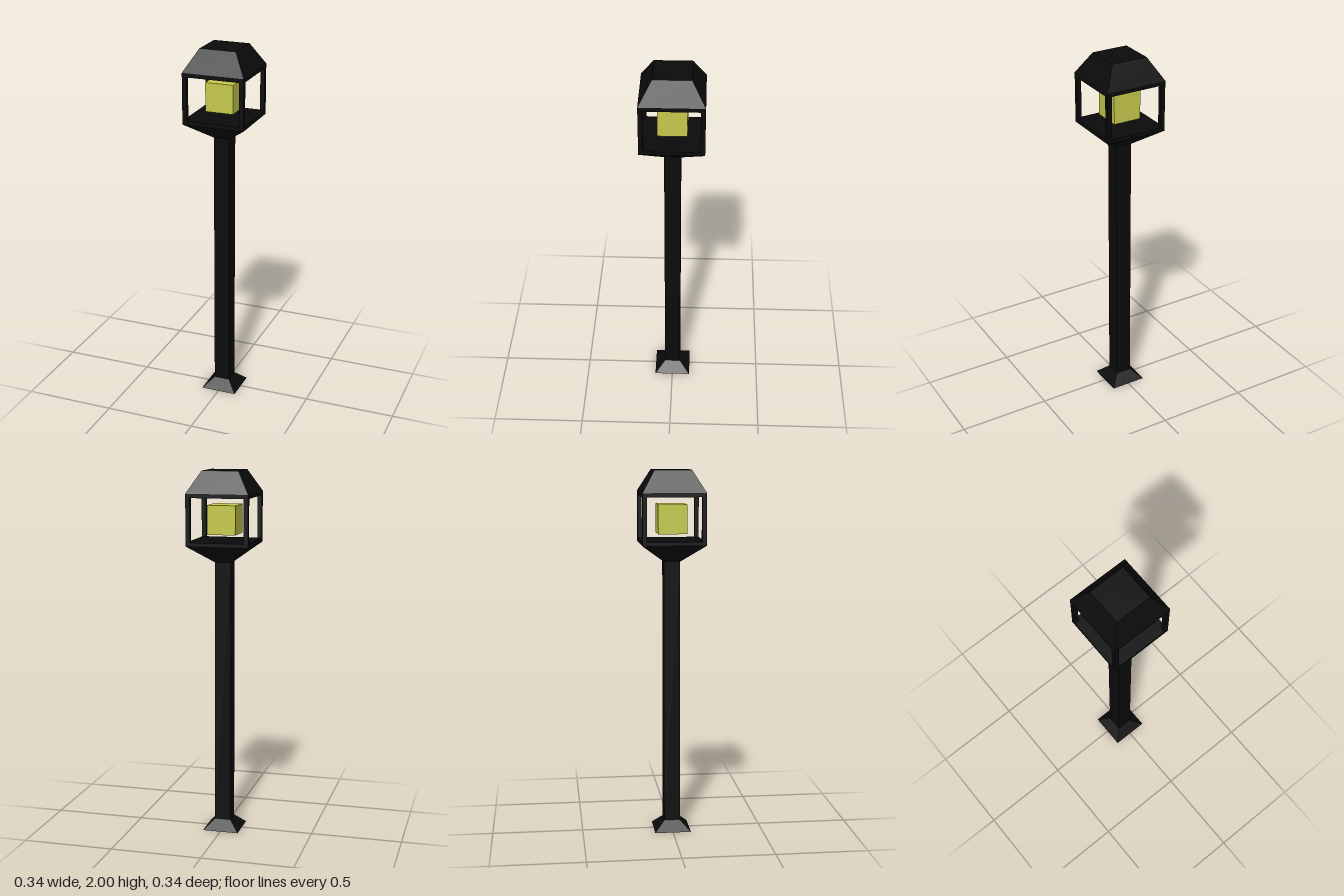
import * as THREE from 'three';

const black = new THREE.MeshStandardMaterial({ color: 0x0b0b0b, flatShading: true });
const yellow = new THREE.MeshStandardMaterial({ color: 0xc6ca4a, flatShading: true });

// Square frustum with half-widths `bottom` and `top`, spanning y0 to y1
function frustum(name, bottom, top, y0, y1, material = black) {
  const geometry = new THREE.CylinderGeometry(top * Math.SQRT2, bottom * Math.SQRT2, y1 - y0, 4);
  geometry.rotateY(Math.PI / 4);
  const mesh = new THREE.Mesh(geometry, material);
  mesh.name = name;
  mesh.position.y = (y0 + y1) / 2;
  return mesh;
}

export function createModel() {
  const model = new THREE.Group();
  model.name = 'lampPost';
  const postHalf = 0.044, lanternHalf = 0.17, bar = 0.024;
  const floorY = 1.625, ceilingY = 1.86;

  // Flared foot and square post
  model.add(frustum('foot', 0.1, postHalf, 0, 0.055));
  model.add(frustum('post', postHalf, postHalf, 0.055, 1.51));

  // Lantern: funnel, floor, eave and tapered roof
  const lantern = new THREE.Group();
  lantern.name = 'lantern';
  lantern.add(frustum('funnel', postHalf, lanternHalf, 1.51, 1.605));
  lantern.add(frustum('floor', lanternHalf, lanternHalf, 1.605, floorY));
  lantern.add(frustum('eave', lanternHalf, lanternHalf, ceilingY, 1.882));
  lantern.add(frustum('roof', lanternHalf, 0.1, 1.882, 2));

  // Corner bars around the open windows
  for (const x of [-1, 1]) {
    for (const z of [-1, 1]) {
      const corner = frustum('cornerBar', bar / 2, bar / 2, floorY, ceilingY);
      corner.position.x = x * (lanternHalf - bar / 2);
      corner.position.z = z * (lanternHalf - bar / 2);
      lantern.add(corner);
    }
  }

  // Glowing block floating inside the lantern
  lantern.add(frustum('light', 0.078, 0.078, 1.66, 1.817, yellow));
  model.add(lantern);
  return model;
}
